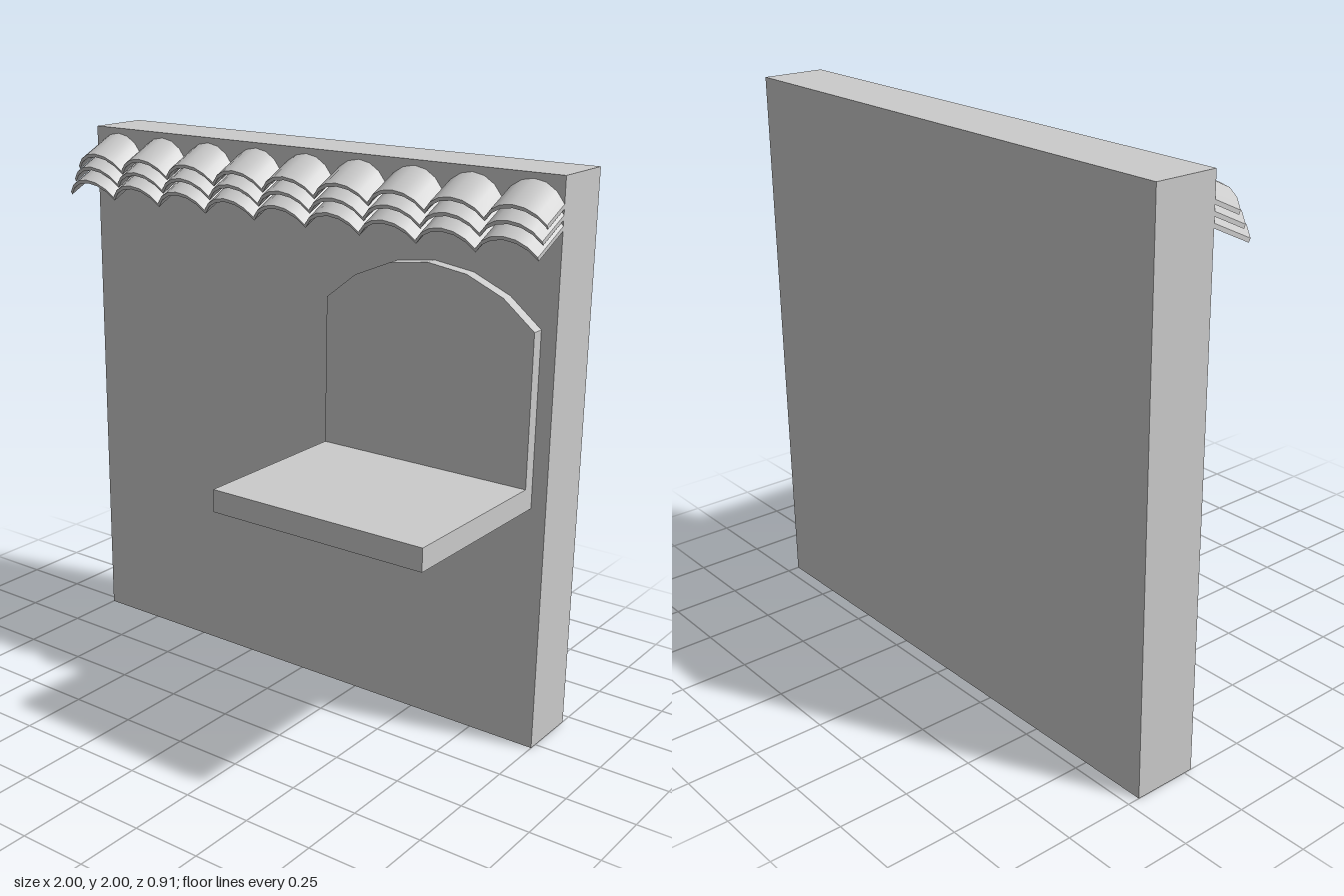
import * as THREE from 'three';
import { toCreasedNormals } from 'three/addons/utils/BufferGeometryUtils.js';

const material = new THREE.MeshStandardMaterial({ color: 0xcccccc });
const WALL_FRONT = -0.22;

function addMesh(parent, name, geometry, x = 0, y = 0, z = 0) {
  const mesh = new THREE.Mesh(geometry, material);
  mesh.name = name;
  mesh.position.set(x, y, z);
  parent.add(mesh);
  return mesh;
}

// Extrusion with six facets per arc, smoothed along the curve
function extrude(shape, depth) {
  const geometry = new THREE.ExtrudeGeometry(shape, { depth, bevelEnabled: false, curveSegments: 3 });
  return toCreasedNormals(geometry, 0.6);
}

// Circular arc through two ends, given its half width and rise
function arcOf(halfWidth, rise) {
  const radius = (halfWidth ** 2 + rise ** 2) / (2 * rise);
  const half = Math.asin(halfWidth / radius);
  return { radius, start: Math.PI / 2 - half, end: Math.PI / 2 + half };
}

// Panel outline with a shallow arched top
function archShape(halfWidth, bottom, spring, top) {
  const { radius, start, end } = arcOf(halfWidth, top - spring);
  const shape = new THREE.Shape();
  shape.moveTo(-halfWidth, bottom);
  shape.lineTo(halfWidth, bottom);
  shape.absarc(0, top - radius, radius, start, end, false);
  shape.closePath();
  return shape;
}

// Curved tile section, crest at the origin
function tileShape(halfWidth, rise, thickness) {
  const { radius, start, end } = arcOf(halfWidth, rise);
  const shape = new THREE.Shape();
  shape.absarc(0, -radius, radius, start, end, false);
  shape.absarc(0, -radius - thickness, radius, end, start, true);
  shape.closePath();
  return shape;
}

// Three overlapping rows of sloping tiles
function createTileRoof() {
  const roof = new THREE.Group();
  roof.name = 'tileRoof';
  const count = 9, pitch = 2 / count, slope = 0.44;
  const section = tileShape(pitch / 2, 0.063, 0.014);
  for (let row = 0; row < 3; row++) {
    const y = 1.917 - row * 0.046;
    const z = -0.085 + row * 0.024;
    const length = (z - WALL_FRONT + 0.01) / Math.cos(slope);
    const geometry = extrude(section, length).translate(0, 0, -length);
    for (let i = 0; i < count; i++) {
      const tile = addMesh(roof, 'roofTile', geometry, -1 + pitch * (i + 0.5), y, z);
      tile.rotation.x = slope;
    }
  }
  return roof;
}

export function createModel() {
  const model = new THREE.Group();
  model.name = 'wallWithShelf';

  // Wall slab
  addMesh(model, 'wall', new THREE.BoxGeometry(2, 2, 0.235), 0, 1, WALL_FRONT - 0.1175);

  // Arched panel and the counter below it
  const centre = 0.537, halfWidth = 0.408;
  addMesh(model, 'archedPanel', extrude(archShape(halfWidth, 0.965, 1.5, 1.675), 0.045), centre, 0, WALL_FRONT);
  addMesh(model, 'shelf', new THREE.BoxGeometry(halfWidth * 2, 0.08, 0.675), centre, 0.925, WALL_FRONT + 0.3375);

  model.add(createTileRoof());
  return model;
}
